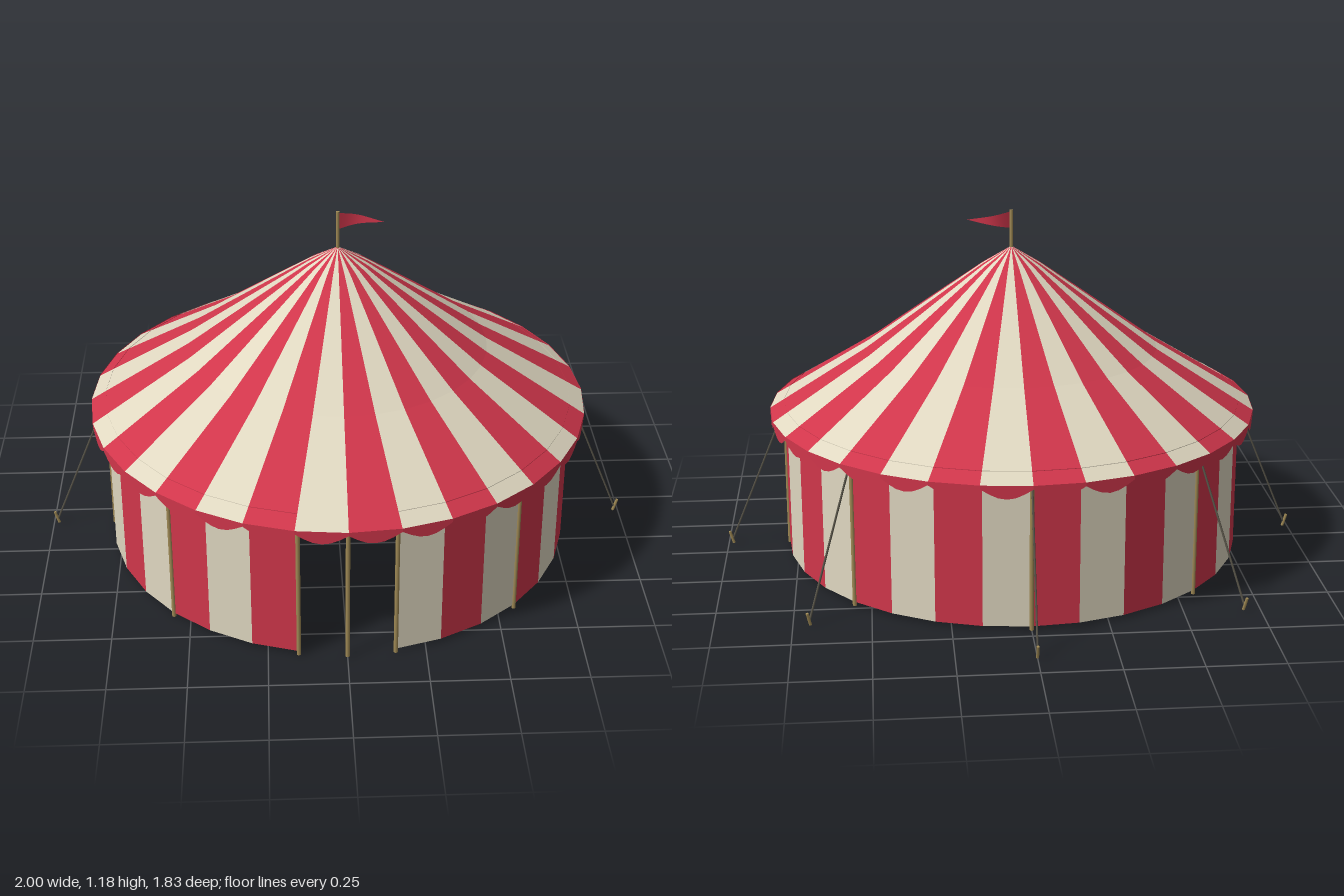
import * as THREE from 'three';
import { mergeGeometries } from 'three/addons/utils/BufferGeometryUtils.js';

const SECTORS = 32;
const STEP = (Math.PI * 2) / SECTORS;
const WALL_R = 0.785;
const EAVE_R = 0.835;

const material = (name, color, extra = {}) => {
  const m = new THREE.MeshStandardMaterial({ color, ...extra });
  m.name = name;
  return m;
};

// Point at an angle round the tent, measured from the front (+z) towards +x
const polar = (r, angle, y) => new THREE.Vector3(r * Math.sin(angle), y, r * Math.cos(angle));

// One flat-faced panel swept over a single sector
function panel(profile, i) {
  const points = profile.map(([r, y]) => new THREE.Vector2(r, y));
  const g = new THREE.LatheGeometry(points, 1, i * STEP, STEP).toNonIndexed();
  g.computeVertexNormals();
  return g;
}

export function createModel() {
  const red = material('red canvas', 0xd0364b, { side: THREE.DoubleSide });
  const cream = material('cream canvas', 0xe0d8c1, { side: THREE.DoubleSide });
  const wood = material('pole wood', 0xa08a55);
  const rope = material('rope', 0x5a564a);

  const model = new THREE.Group();
  model.name = 'tent';
  const tent = new THREE.Group();
  tent.name = 'tentBody';
  tent.position.z = 0.08;
  model.add(tent);

  const add = (name, geometry, mat) => {
    const mesh = new THREE.Mesh(geometry, mat);
    mesh.name = name;
    tent.add(mesh);
    return mesh;
  };

  // Straight round bar between two points
  const bar = (name, a, b, radius, mat, sides = 8) => {
    const mesh = add(name, new THREE.CylinderGeometry(radius, radius, a.distanceTo(b), sides), mat);
    mesh.position.copy(a).lerp(b, 0.5);
    mesh.quaternion.setFromUnitVectors(new THREE.Vector3(0, 1, 0), b.clone().sub(a).normalize());
    return mesh;
  };

  // Striped panels, alternating red and cream
  const striped = (name, profile, first, last) => {
    const sets = [[], []];
    for (let i = first; i <= last; i++) sets[i % 2].push(panel(profile, i));
    add(name + 'RedStripes', mergeGeometries(sets[0]), red);
    add(name + 'CreamStripes', mergeGeometries(sets[1]), cream);
  };

  // Roof, and walls with the two front sectors left open as a doorway
  const roof = [[0.002, 1.055], [0.1, 0.995], [0.25, 0.888], [0.5, 0.708], [0.79, 0.528], [EAVE_R, 0.5]];
  striped('roof', roof, 0, SECTORS - 1);
  striped('wall', [[WALL_R, 0.533], [WALL_R, 0.012]], 1, SECTORS - 2);

  // Scalloped valance, one scallop for each sector
  const half = EAVE_R * Math.sin(STEP / 2);
  const scallop = new THREE.Shape();
  scallop.moveTo(-half, 0.503);
  scallop.lineTo(-half, 0.491);
  for (let k = 1; k <= 6; k++) {
    const t = k / 6;
    scallop.lineTo(-half + 2 * half * t, 0.491 - 0.033 * Math.sin(Math.PI * t));
  }
  scallop.lineTo(half, 0.503);
  const valance = [];
  for (let i = 0; i < SECTORS; i++) {
    const g = new THREE.ShapeGeometry(scallop);
    g.translate(0, 0, EAVE_R * Math.cos(STEP / 2));
    g.rotateY((i + 0.5) * STEP);
    valance.push(g);
  }
  add('valance', mergeGeometries(valance), red);

  // Wall posts every 45 degrees, plus one on each side of the doorway
  const postAngles = [STEP, -STEP];
  for (let i = 0; i < 8; i++) postAngles.push((i * Math.PI) / 4);
  for (const a of postAngles) {
    bar('wallPost', polar(WALL_R, a, 0), polar(WALL_R, a, 0.525), 0.007, wood);
  }

  // Centre pole and flagpole
  bar('centrePole', polar(0, 0, 0), polar(0, 0, 1.04), 0.013, wood, 10);
  bar('flagPole', polar(0, 0, 1.03), polar(0, 0, 1.18), 0.006, wood);

  // Pennant with a gentle wave
  const flag = new THREE.PlaneGeometry(0.146, 1, 8, 1);
  const p = flag.attributes.position;
  for (let i = 0; i < p.count; i++) {
    const t = p.getX(i) / 0.146 + 0.5;
    const y = 1.146 + p.getY(i) * 0.056 * (1 - t);
    p.setXYZ(i, 0.004 + t * 0.146, y, -0.014 * Math.sin(t * Math.PI * 1.3));
  }
  flag.computeVertexNormals();
  add('pennant', flag, red);

  // Guy ropes and leaning stakes on the sides and back
  for (let i = 2; i <= 6; i++) {
    const a = (i * Math.PI) / 4;
    bar('guyRope', polar(0.79, a, 0.49), polar(0.985, a, 0.018), 0.0035, rope, 6);
    bar('stake', polar(0.982, a, 0.002), polar(0.995, a, 0.045), 0.005, wood, 6);
  }
  return model;
}
